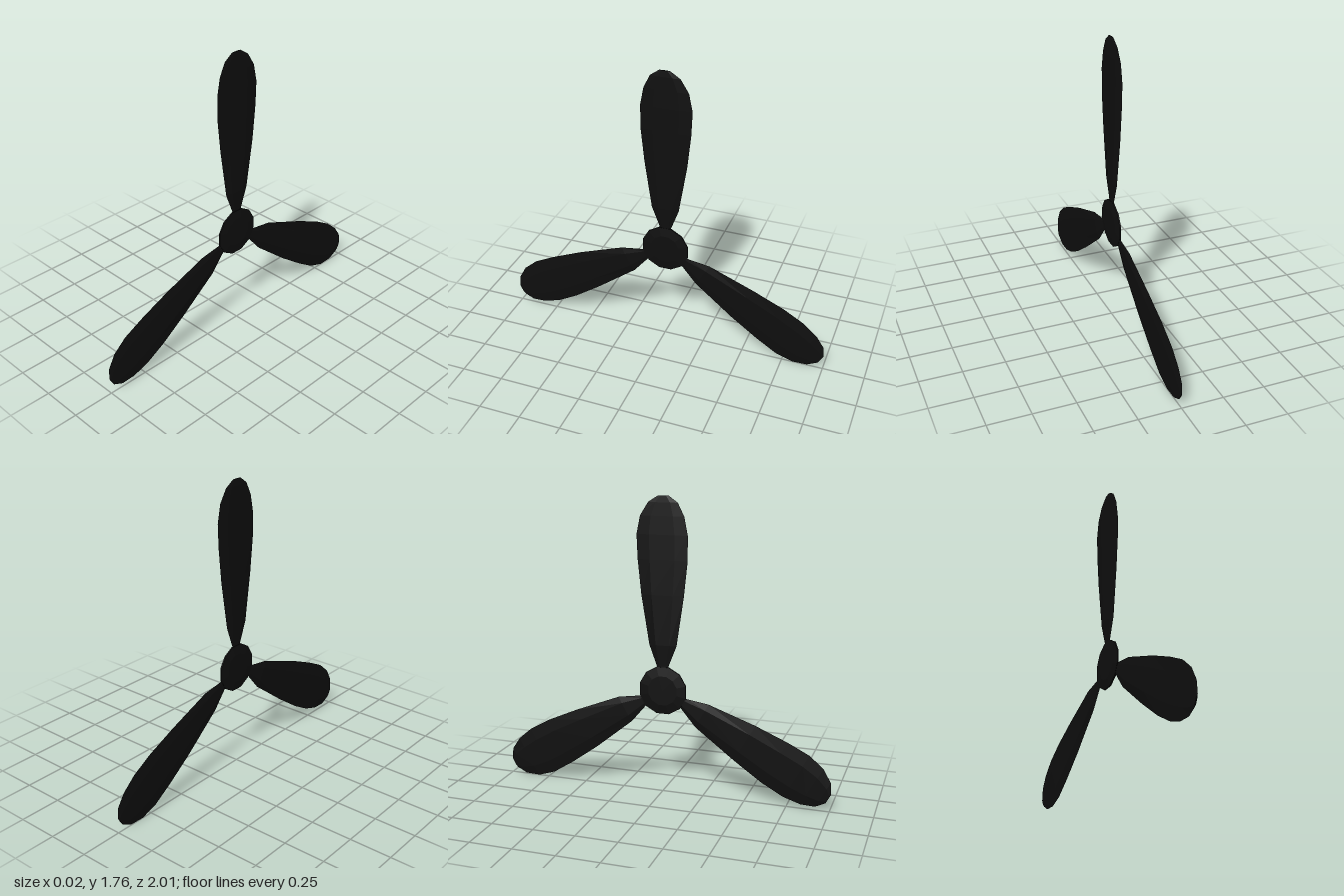
import * as THREE from 'three';

const black = new THREE.MeshStandardMaterial({ color: 0x0e0e0e, flatShading: true });
black.name = 'matte black';

// Blade stations from root to tip: [radius, +z edge, -z edge, half thickness]
const STATIONS = [
  [0.08, 0.02, -0.02, 0.002],
  [0.15, 0.035, -0.038, 0.003],
  [0.273, 0.083, -0.083, 0.009],
  [0.567, 0.126, -0.131, 0.008],
  [0.77, 0.147, -0.152, 0.007],
  [0.914, 0.147, -0.158, 0.007],
  [1.02, 0.126, -0.136, 0.006],
  [1.096, 0.088, -0.088, 0.005],
  [1.134, 0.035, -0.029, 0.003],
];

// Loft of thin six-sided sections with sharp leading and trailing edges
function bladeGeometry() {
  const n = 6, pos = [], index = [];
  for (const [r, a, b, t] of STATIONS) {
    const mid = (a + b) / 2, half = (a - b) / 4;
    const ring = [[0, a], [t, mid + half], [t, mid - half], [0, b], [-t, mid - half], [-t, mid + half]];
    for (const [x, z] of ring) pos.push(x, r, z);
  }
  for (let i = 0; i < STATIONS.length - 1; i++) {
    for (let j = 0; j < n; j++) {
      const a = i * n + j, b = i * n + (j + 1) % n;
      index.push(a, b, b + n, a, b + n, a + n);
    }
  }
  // close the tip
  const tip = (STATIONS.length - 1) * n;
  for (let j = 1; j < n - 1; j++) index.push(tip, tip + j, tip + j + 1);
  const geo = new THREE.BufferGeometry();
  geo.setAttribute('position', new THREE.Float32BufferAttribute(pos, 3));
  geo.setIndex(index);
  const flat = geo.toNonIndexed();
  flat.computeVertexNormals();
  return flat;
}

// Twelve-sided disc with bevelled faces, its axis along x
function hubGeometry() {
  const profile = [[0, -0.011], [0.09, -0.011], [0.146, -0.004], [0.146, 0.004], [0.09, 0.011], [0, 0.011]]
    .map(([r, h]) => new THREE.Vector2(r, h));
  return new THREE.LatheGeometry(profile, 12, Math.PI / 12).rotateZ(Math.PI / 2);
}

export function createModel() {
  const model = new THREE.Group();
  model.name = 'propeller';

  const hub = new THREE.Mesh(hubGeometry(), black);
  hub.name = 'hub';
  model.add(hub);

  // three blades around the hub
  const geo = bladeGeometry();
  [['topBlade', 0], ['frontBlade', 118.9], ['backBlade', -120]].forEach(([name, angle]) => {
    const blade = new THREE.Mesh(geo, black);
    blade.name = name;
    blade.rotation.x = THREE.MathUtils.degToRad(angle);
    model.add(blade);
  });

  // lift so the lower blades touch the ground
  model.children.forEach((part) => { part.position.y = 0.631; });
  return model;
}
